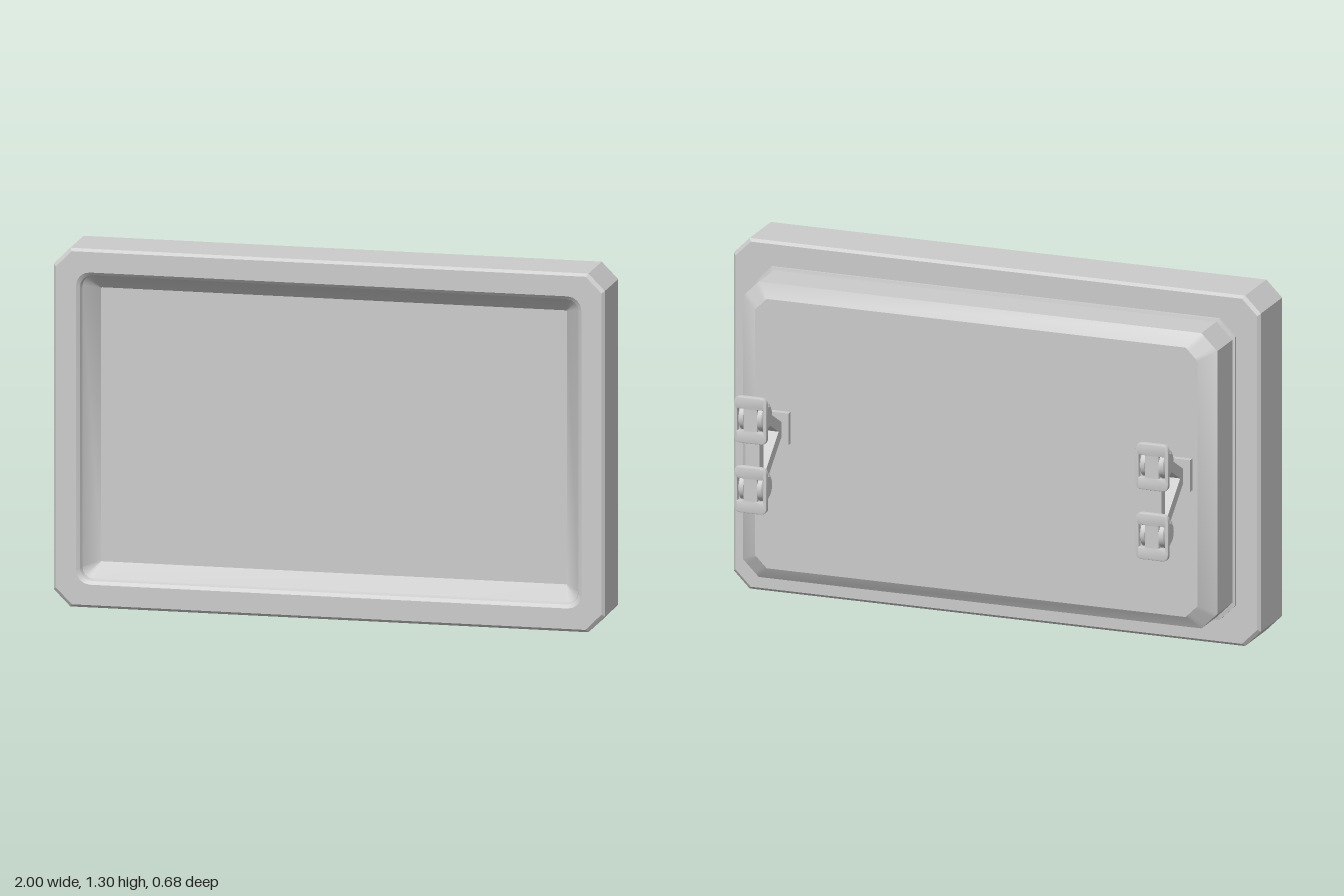
import * as THREE from 'three';
import { toCreasedNormals } from 'three/addons/utils/BufferGeometryUtils.js';

const MID_Y = 0.648;
const material = new THREE.MeshStandardMaterial({ color: 0xcccccc });

function add(parent, name, geometry, x = 0, y = 0, z = 0) {
  const mesh = new THREE.Mesh(geometry, material);
  mesh.name = name;
  mesh.position.set(x, y, z);
  parent.add(mesh);
  return mesh;
}

// Rectangle outline with cut (round = 0) or rounded (round = 1) corners, anticlockwise
function ringPoints([w, h, cut, z, round = 0]) {
  const points = [], steps = 4;
  for (let k = 0; k < 4; k++) {
    const sx = k === 0 || k === 3 ? 1 : -1, sy = k < 2 ? 1 : -1;
    for (let i = 0; i <= steps; i++) {
      const t = i / steps, a = t * Math.PI / 2;
      let u = THREE.MathUtils.lerp(1 - t, Math.cos(a), round);
      let v = THREE.MathUtils.lerp(t, Math.sin(a), round);
      if (k % 2) [u, v] = [v, u];
      points.push([sx * (w - cut + cut * u), sy * (h - cut + cut * v), z]);
    }
  }
  return points;
}

// Skin through successive outlines, optionally closed at the first or last one
function loft(specs, capStart, capEnd) {
  const rings = specs.map(ringPoints), n = rings[0].length, pos = [];
  for (let r = 0; r + 1 < rings.length; r++) {
    for (let i = 0; i < n; i++) {
      const j = (i + 1) % n, a = rings[r], b = rings[r + 1];
      pos.push(...a[i], ...a[j], ...b[j], ...a[i], ...b[j], ...b[i]);
    }
  }
  const cap = (ring, flip) => {
    for (let i = 0; i < n; i++) {
      const p = ring[i], q = ring[(i + 1) % n];
      pos.push(0, 0, p[2], ...(flip ? q : p), ...(flip ? p : q));
    }
  };
  if (capStart) cap(rings[0], true);
  if (capEnd) cap(rings[rings.length - 1], false);
  const g = new THREE.BufferGeometry();
  g.setAttribute('position', new THREE.Float32BufferAttribute(pos, 3));
  return toCreasedNormals(g, 0.5);
}

// Bar between two (y, z) points
function addBar(parent, name, [y1, z1], [y2, z2], width, thick) {
  const length = Math.hypot(y2 - y1, z2 - z1);
  const bar = add(parent, name, new THREE.BoxGeometry(width, thick, length), 0, (y1 + y2) / 2, (z1 + z2) / 2);
  bar.rotation.x = -Math.atan2(y2 - y1, z2 - z1);
}

function roundedPath(path, x0, y0, x1, y1, r) {
  path.moveTo(x0 + r, y0);
  path.lineTo(x1 - r, y0);
  path.quadraticCurveTo(x1, y0, x1, y0 + r);
  path.lineTo(x1, y1 - r);
  path.quadraticCurveTo(x1, y1, x1 - r, y1);
  path.lineTo(x0 + r, y1);
  path.quadraticCurveTo(x0, y1, x0, y1 - r);
  path.lineTo(x0, y0 + r);
  path.quadraticCurveTo(x0, y0, x0 + r, y0);
  return path;
}

// Clamp pad with two slots for the pivot discs
function padGeometry() {
  const bevel = 0.004;
  const shape = roundedPath(new THREE.Shape(), -0.058, -0.082, 0.058, 0.082, 0.02);
  for (const s of [-1, 1]) {
    const c = s * 0.0375;
    shape.holes.push(roundedPath(new THREE.Path(), c - 0.015, -0.045, c + 0.015, 0.045, 0.006));
  }
  const g = new THREE.ExtrudeGeometry(shape, {
    depth: 0.013, bevelEnabled: true, bevelSize: bevel, bevelThickness: bevel, bevelSegments: 2, curveSegments: 5,
  });
  g.translate(0, 0, -0.0065);
  return toCreasedNormals(g, 0.6);
}

// Pivot disc with a chamfered outer face, axis along x
function discGeometry(side) {
  const profile = [[0, -0.012], [0.05, -0.012], [0.05, 0.005], [0.038, 0.012], [0, 0.012]];
  const g = new THREE.LatheGeometry(profile.map(([r, y]) => new THREE.Vector2(r, y)), 28);
  g.rotateZ(-side * Math.PI / 2);
  return toCreasedNormals(g, 0.5);
}

function createBracket() {
  const bracket = new THREE.Group();
  const root = [0.68, -0.095], pivotZ = -0.287;
  add(bracket, 'basePlate', new THREE.BoxGeometry(0.106, 0.117, 0.024), 0, 0.68, -0.088);
  addBar(bracket, 'pivotBar', [0.777, -0.293], [0.519, -0.293], 0.054, 0.036);
  for (const y of [0.777, 0.519]) {
    const lean = y > 0.65 ? 0.012 : -0.004;
    addBar(bracket, 'arm', root, [y + lean, pivotZ], 0.054, 0.038);
    for (const side of [-1, 1]) add(bracket, 'pivotDisc', discGeometry(side), side * 0.038, y, pivotZ);
    add(bracket, 'clampPad', padGeometry(), 0, y - 0.003, -0.325);
  }
  return bracket;
}

export function createModel() {
  const model = new THREE.Group();

  // Rear housing with bevelled back and a thin lip against the frame
  add(model, 'rearHousing', loft([
    [0.84, 0.498, 0.045, -0.078],
    [0.9, 0.546, 0.06, -0.04],
    [0.9, 0.546, 0.06, 0.105],
    [0.91, 0.557, 0.06, 0.108],
    [0.91, 0.557, 0.06, 0.12],
  ], true, false), 0, MID_Y, 0);

  // Frame with cut corners, softened edges and a sloped inner wall
  add(model, 'frame', loft([
    [0.9, 0.546, 0.06, 0.117],
    [0.99, 0.638, 0.058, 0.117],
    [1, 0.648, 0.06, 0.127],
    [1, 0.648, 0.06, 0.332],
    [0.99, 0.638, 0.058, 0.342],
    [0.917, 0.564, 0.05, 0.342, 1],
    [0.905, 0.552, 0.045, 0.332, 1],
    [0.9, 0.547, 0.04, 0.315, 1],
    [0.845, 0.495, 0.004, 0.26, 1],
  ], false, false), 0, MID_Y, 0);

  // Flat display surface
  add(model, 'screen', loft([[0.845, 0.495, 0.004, 0.26, 1]], false, true), 0, MID_Y, 0);

  // Pair of folding clamp brackets at the back
  for (const [name, x] of [['leftBracket', 0.757], ['rightBracket', -0.767]]) {
    const bracket = createBracket();
    bracket.name = name;
    bracket.position.x = x;
    model.add(bracket);
  }
  return model;
}
